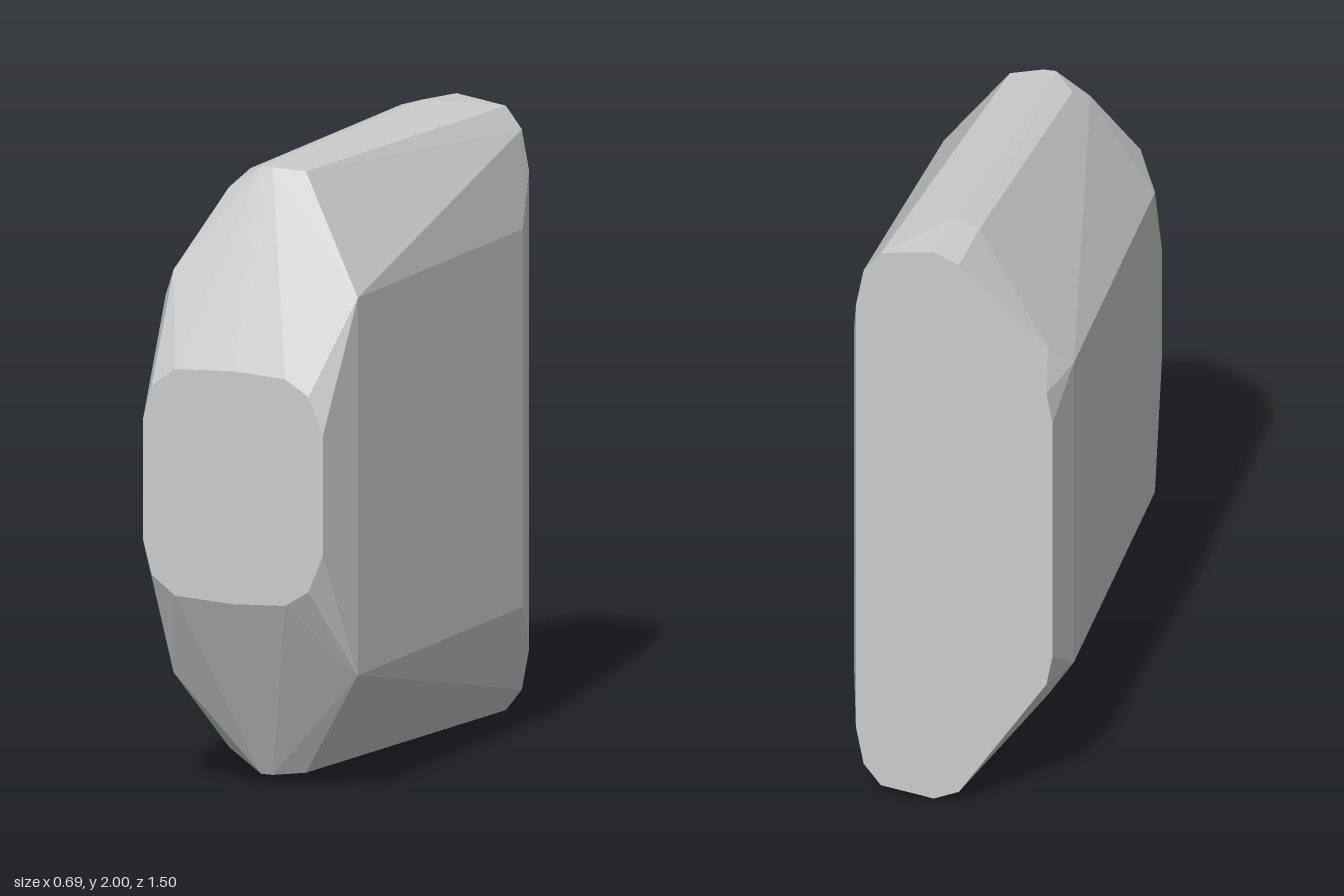
import * as THREE from 'three';
import { ConvexGeometry } from 'three/addons/geometries/ConvexGeometry.js';

// Upper halves of the cross-sections: [x, height above the middle, z]
const frontFace = [
  [-0.31, 0.19], [-0.28, 0.30], [-0.20, 0.36], [0, 0.37], [0.18, 0.36], [0.26, 0.31], [0.31, 0.19],
].map(([x, h]) => [x, h, 0.75]);

const backFace = [
  [0.31, 0.76], [0.285, 0.89], [0.23, 0.96], [0.06, 0.985], [-0.02, 0.95], [-0.30, 0.525], [-0.32, 0.42],
].map(([x, h]) => [x, h, -0.75]);

// Front shoulder, where the body slopes in to the nose
const frontShoulder = [
  [0.345, 0.60, 0.57], [0.10, 0.955, 0.43], [0, 0.965, 0.46], [-0.04, 0.965, 0.46],
  [-0.11, 0.94, 0.39], [-0.15, 0.89, 0.46], [-0.28, 0.64, 0.59], [-0.345, 0.54, 0.51],
];

// Back shoulder, just ahead of the flat rear
const backShoulder = [
  [0.345, 0.60, -0.63], [0.04, 1.0, -0.55], [-0.04, 0.975, -0.56],
  [-0.28, 0.625, -0.64], [-0.345, 0.54, -0.57],
];

export function createModel() {
  const group = new THREE.Group();
  group.name = 'facetedBlock';

  // Mirror the upper half downward and wrap everything in one faceted hull
  const points = [];
  for (const [x, h, z] of [...frontFace, ...frontShoulder, ...backShoulder, ...backFace]) {
    for (const side of [1, -1]) points.push(new THREE.Vector3(x, 1 + side * h, z));
  }

  const body = new THREE.Mesh(
    new ConvexGeometry(points),
    new THREE.MeshStandardMaterial({ color: 0xcccccc, flatShading: true }),
  );
  body.name = 'body';
  group.add(body);
  return group;
}
